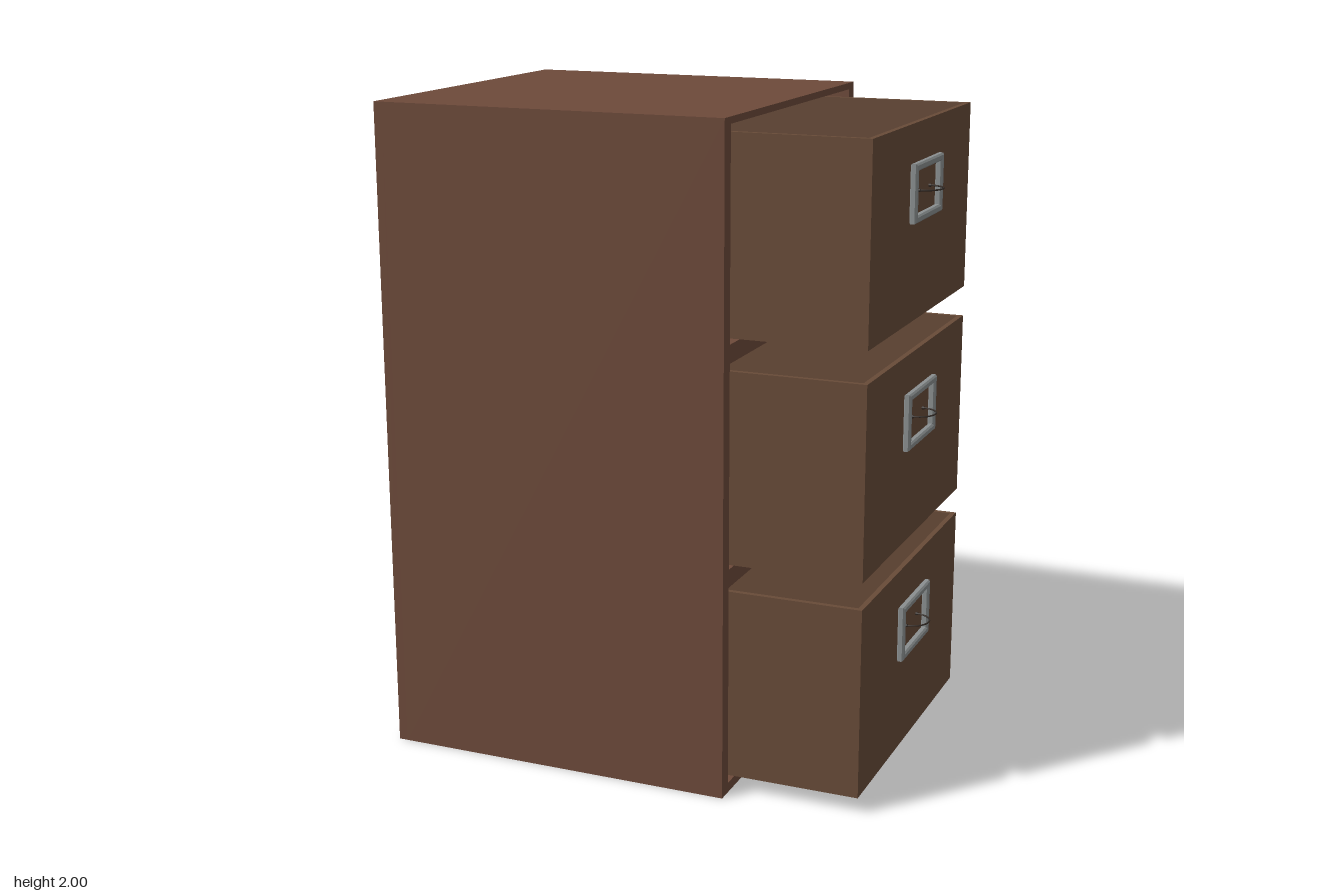
import * as THREE from 'three';

const material = (name, color) => {
  const m = new THREE.MeshStandardMaterial({ color });
  m.name = name;
  return m;
};

export function createModel() {
  const bodyBrown = material('body brown', 0x6d4a3a);
  const drawerBrown = material('drawer brown', 0x684b38);
  const metalGrey = material('metal grey', 0x8a8f90);
  const darkMetal = material('dark metal', 0x352d28);

  const model = new THREE.Group();
  model.name = 'filingCabinet';

  const add = (parent, name, geometry, mat, x = 0, y = 0, z = 0) => {
    const mesh = new THREE.Mesh(geometry, mat);
    mesh.name = name;
    mesh.position.set(x, y, z);
    parent.add(mesh);
    return mesh;
  };
  const box = (parent, name, mat, x0, x1, y0, y1, z0, z1) =>
    add(parent, name, new THREE.BoxGeometry(x1 - x0, y1 - y0, z1 - z0), mat,
      (x0 + x1) / 2, (y0 + y1) / 2, (z0 + z1) / 2);

  // Rectangle outline centred on x, used for shapes and holes
  const rect = (Type, halfWidth, y0, y1) => new Type([
    new THREE.Vector2(-halfWidth, y0), new THREE.Vector2(halfWidth, y0),
    new THREE.Vector2(halfWidth, y1), new THREE.Vector2(-halfWidth, y1),
  ]);
  // Extrudes a shape towards +x
  const extrudeX = (shape, depth, bevel = 0) => new THREE.ExtrudeGeometry(shape, {
    depth, bevelEnabled: bevel > 0, bevelSize: bevel, bevelThickness: bevel, bevelSegments: 1,
  }).rotateY(Math.PI / 2);

  // Bottom of each drawer and its opening
  const drawers = [
    { open: [0.03, 0.645], y0: 0.05, y1: 0.628, handle: 0.43 },
    { open: [0.70, 1.31], y0: 0.71, y1: 1.285, handle: 1.088 },
    { open: [1.365, 1.98], y0: 1.38, y1: 1.957, handle: 1.76 },
  ];

  // Cabinet shell with three bays, closed by a back panel
  const shell = rect(THREE.Shape, 0.548, 0, 2);
  drawers.forEach(d => shell.holes.push(rect(THREE.Path, 0.503, ...d.open)));
  add(model, 'cabinetShell', extrudeX(shell, 1.07), bodyBrown, -0.752);
  box(model, 'backPanel', bodyBrown, -0.78, -0.752, 0, 2, -0.548, 0.548);

  const back = -0.36, front = 0.718, half = 0.49, t = 0.016;
  drawers.forEach(({ y0, y1, handle }, i) => {
    const drawer = new THREE.Group();
    drawer.name = `drawer${i + 1}`;
    model.add(drawer);

    // Open tray
    box(drawer, 'drawerFront', drawerBrown, front - t, front, y0, y1, -half, half);
    box(drawer, 'drawerBack', drawerBrown, back, back + t, y0, y1, -half, half);
    box(drawer, 'drawerBottom', drawerBrown, back + t, front - t, y0, y0 + t, -half, half);
    for (const s of [-1, 1]) {
      const z = s * (half - t / 2);
      box(drawer, 'drawerSide', drawerBrown, back + t, front - t, y0 + t, y1, z - t / 2, z + t / 2);
    }

    // Bevelled label frame
    const frame = rect(THREE.Shape, 0.133, -0.081, 0.081);
    frame.holes.push(rect(THREE.Path, 0.121, -0.069, 0.069));
    add(drawer, 'labelFrame', extrudeX(frame, 0.012, 0.005), metalGrey, front + 0.004, handle);

    // Thin half-ring pull
    const pull = new THREE.TorusGeometry(0.055, 0.0025, 8, 24, Math.PI)
      .rotateX(Math.PI / 2).rotateY(Math.PI / 2);
    add(drawer, 'pullRing', pull, darkMetal, front + 0.003, handle);
    for (const s of [-1, 1]) {
      const boss = new THREE.CylinderGeometry(0.005, 0.005, 0.008, 10).rotateZ(Math.PI / 2);
      add(drawer, 'pullMount', boss, darkMetal, front + 0.003, handle, s * 0.055);
    }
  });

  return model;
}
